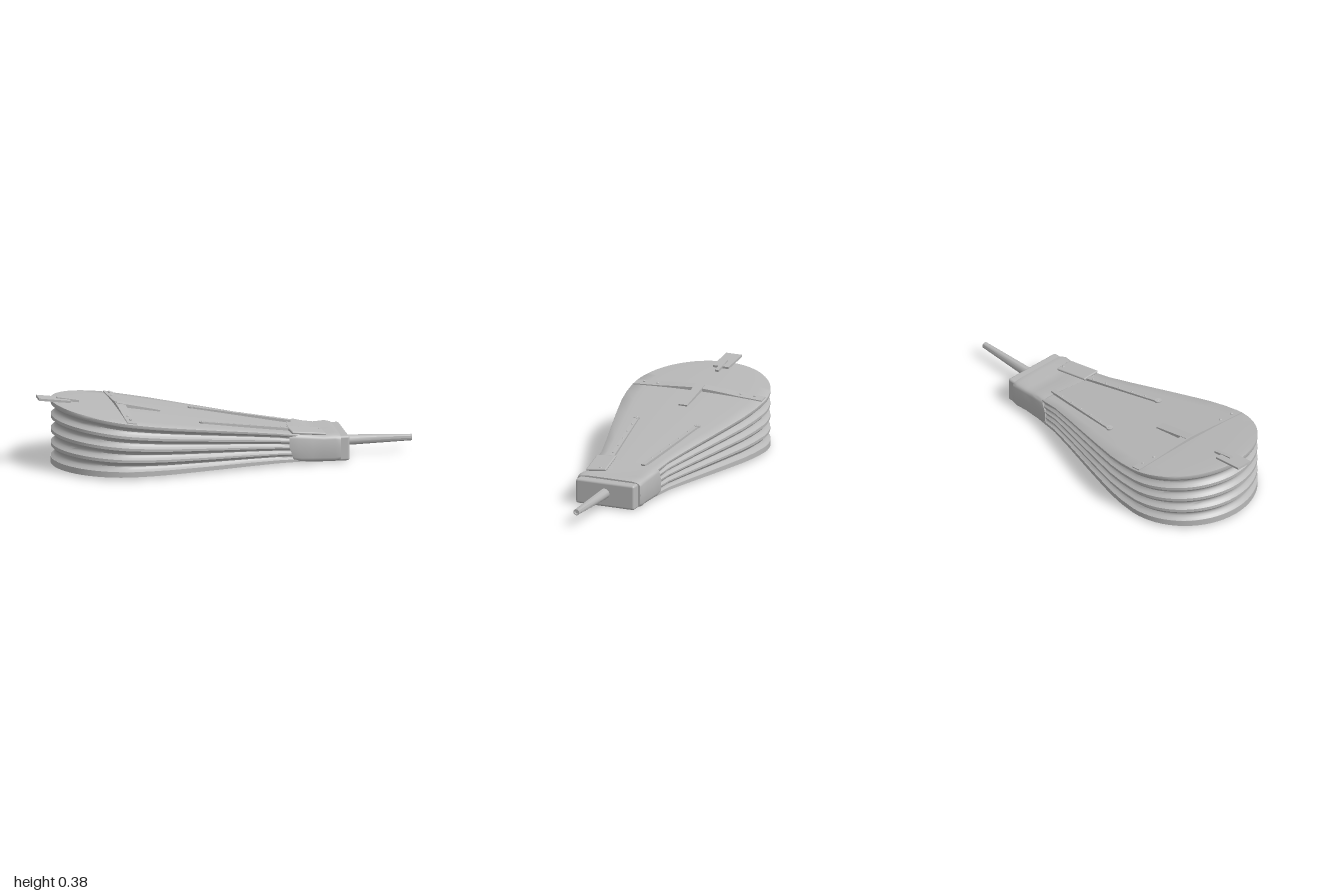
import * as THREE from 'three';
import { toCreasedNormals } from 'three/addons/utils/BufferGeometryUtils.js';
import { RoundedBoxGeometry } from 'three/addons/geometries/RoundedBoxGeometry.js';

const V = (x, y, z) => new THREE.Vector3(x, y, z);
const grey = new THREE.MeshStandardMaterial({ color: 0xb8b8b8 });
grey.name = 'plain grey';

// Skin a list of closed rings that share one point count
function loft(rings, crease = 0.6) {
  const n = rings[0].length, index = [];
  for (let i = 0; i < rings.length - 1; i++) {
    for (let j = 0; j < n; j++) {
      const k = (j + 1) % n, a = i * n + j, b = i * n + k, c = b + n, d = a + n;
      index.push(a, b, c, a, c, d);
    }
  }
  const g = new THREE.BufferGeometry().setFromPoints(rings.flat());
  g.setIndex(index);
  return toCreasedNormals(g, crease);
}

const lidY = (x) => 0.215 - 0.154 * x;

export function createModel() {
  const model = new THREE.Group();
  const add = (name, geometry) => {
    const mesh = new THREE.Mesh(geometry, grey);
    mesh.name = name;
    model.add(mesh);
    return mesh;
  };
  // Flat bar from a to b
  const bar = (name, a, b, width, height) => {
    const mesh = add(name, new THREE.BoxGeometry(width, height, a.distanceTo(b)));
    mesh.position.copy(a).lerp(b, 0.5);
    mesh.lookAt(b);
    return mesh;
  };
  const rivet = (x, y, z, r = 0.008) => {
    const mesh = add('rivet', new THREE.SphereGeometry(r, 8, 6));
    mesh.position.set(x, y, z);
    mesh.scale.y = 0.6;
  };

  // Pear-shaped outline of the boards, as x and half width
  const half = [];
  for (let i = 0; i <= 16; i++) {
    const t = (i / 16) * Math.PI / 2;
    half.push([-0.55 - 0.375 * Math.cos(t), 0.38 * Math.sin(t)]);
  }
  half.push([-0.45, 0.372], [-0.35, 0.355], [-0.22, 0.322], [-0.1, 0.29], [0.1, 0.235], [0.25, 0.197], [0.4, 0.178]);
  const outline = [...half, ...half.slice(1).reverse().map(([x, z]) => [x, -z])];
  const normals = outline.map((p, i) => {
    const n = outline.length, a = outline[(i + n - 1) % n], b = outline[(i + 1) % n];
    const l = Math.hypot(b[0] - a[0], b[1] - a[1]);
    return [-(b[1] - a[1]) / l, (b[0] - a[0]) / l];
  });
  // One ring: height fraction v, inset d, closeness s to the centre line, dome height
  const ring = (v, d, s = 1, dome = 0) => outline.map(([x, z], i) => {
    const top = lidY(x), depth = d * Math.min(1, top / 0.28);
    const px = x - normals[i][0] * depth, pz = z - normals[i][1] * depth;
    return V(px, 0.015 + v * (top - 0.015) + dome * (1 - s * s) * Math.abs(z) / 0.38, pz * s);
  });

  // Bottom board
  add('bottomBoard', loft([ring(0, 0, 0), ring(0, 0), ring(0.1, 0), ring(0.1, 0, 0)]));

  // Leather folds: four scalloped grooves between flat ridges
  const folds = [];
  for (let k = 0; k < 4; k++) {
    const v0 = 0.1 + k * 0.22, v1 = v0 + 0.17;
    for (let i = 0; i <= 6; i++) {
      const t = i / 6;
      folds.push(ring(v0 + (v1 - v0) * t, 0.002 + 0.024 * Math.sin(Math.PI * t)));
    }
  }
  add('leatherFolds', loft(folds, 0.7));

  // Sloping lid with a slight crown
  const lid = [ring(0.93, 0.004, 0), ring(0.93, 0.002), ring(0.95, 0), ring(0.99, 0)];
  for (const s of [0.99, 0.8, 0.6, 0.4, 0.2, 0]) lid.push(ring(1, 0, s, 0.012));
  add('topBoard', loft(lid, 0.7));

  // Cross strap, bent over the crown and thicker in the middle
  const strap = new THREE.BoxGeometry(0.05, 0.012, 0.74, 1, 1, 16);
  const sp = strap.attributes.position;
  for (let i = 0; i < sp.count; i++) {
    const z = sp.getZ(i), rise = 1 - (z / 0.37) ** 2;
    const mid = sp.getY(i) > 0 ? 0.012 * Math.max(0, 1 - Math.abs(z) / 0.24) : 0;
    sp.setY(i, sp.getY(i) + lidY(-0.56 + sp.getX(i)) + 0.012 * rise + mid);
    sp.setX(i, sp.getX(i) - 0.56);
  }
  add('crossStrap', toCreasedNormals(strap, 0.5));
  for (const z of [-0.32, -0.24, 0.24, 0.32]) rivet(-0.56, lidY(-0.56) + 0.014, z);

  // Strap tail running forward from the cross strap
  bar('strapTail', V(-0.58, 0.327, 0), V(-0.35, 0.278, 0), 0.05, 0.02);

  // Lift tab at the back of the lid with its narrow tongue
  bar('liftTab', V(-1, 0.376, 0), V(-0.83, 0.356, 0), 0.09, 0.012);
  bar('tabTongue', V(-0.9, 0.371, 0), V(-0.78, 0.349, 0), 0.02, 0.014);

  // Slanting riveted straps on the lid
  for (const side of [-1, 1]) {
    const a = V(-0.15, lidY(-0.15) + 0.009, side * 0.175);
    const b = V(0.37, lidY(0.37) + 0.012, side * 0.098);
    bar('lidStrap', a, b, 0.026, 0.014);
    const end = add('strapEnd', new THREE.CylinderGeometry(0.018, 0.018, 0.014, 12));
    end.position.copy(a);
    for (let i = 0; i < 6; i++) {
      const p = a.clone().lerp(b, i / 6);
      rivet(p.x, p.y + 0.007, p.z, 0.006);
    }
  }

  // Leather wrap around the neck: x, half width, bottom, top, dip along the middle
  const section = ([x, w, y0, y1, dip], size = 1) => {
    const pts = [];
    for (let i = 0; i < 32; i++) {
      const t = (i / 32) * Math.PI * 2, c = Math.cos(t), s = Math.sin(t);
      const sq = (u) => Math.sign(u) * Math.abs(u) ** 0.28;
      const z = w * sq(s) * size;
      const sag = c > 0 ? dip * (1 - (z / w) ** 2) * size : 0;
      pts.push(V(x + 0.02 * (z / w) * -size * (c > 0 ? 1 : 0) * (x < 0.4 ? 1 : 0),
        (y0 + y1) / 2 + (y1 - y0) / 2 * sq(c) * size - sag, z));
    }
    return pts;
  };
  const wrap = [
    [0.335, 0.188, 0.012, 0.17, 0], [0.38, 0.192, 0.006, 0.172, 0.006], [0.44, 0.187, 0.004, 0.164, 0.012],
    [0.5, 0.182, 0.002, 0.156, 0.012], [0.56, 0.188, 0.002, 0.158, 0.004], [0.59, 0.183, 0.008, 0.15, 0],
  ];
  add('neckWrap', loft([section(wrap[0], 0), ...wrap.map((w) => section(w)), section(wrap[5], 0)], 0.8));

  // Loose wrap end folded over the top
  const flap = add('wrapFlap', new RoundedBoxGeometry(0.19, 0.014, 0.11, 2, 0.006));
  flap.position.set(0.415, 0.168, 0.122);
  flap.rotation.set(0.08, 0.12, -0.12);
  rivet(0.49, 0.168, 0.09);

  // Block at the neck's end
  const block = add('neckBlock', new RoundedBoxGeometry(0.1, 0.134, 0.338, 3, 0.012));
  block.position.set(0.59, 0.074, 0);

  // Tapered nozzle with an open-looking recessed mouth
  const profile = [[0, 0], [0.029, 0], [0.017, 0.38], [0.013, 0.38], [0.012, 0.365], [0, 0.365]];
  const nozzle = add('nozzle', toCreasedNormals(
    new THREE.LatheGeometry(profile.map(([r, y]) => new THREE.Vector2(r, y)), 10), 0.9));
  nozzle.rotation.z = -Math.PI / 2;
  nozzle.position.set(0.62, 0.08, 0);

  return model;
}
